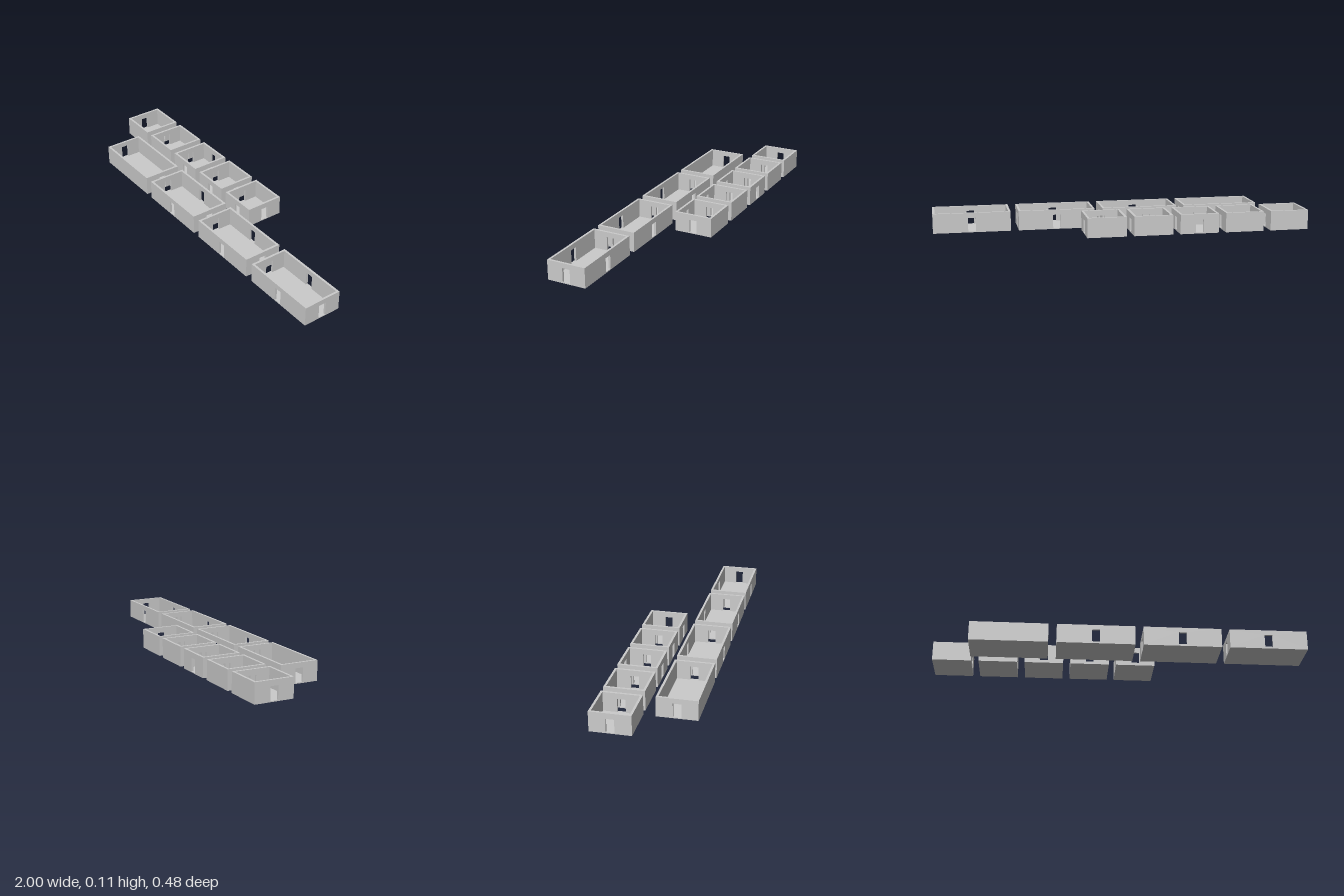
import * as THREE from 'three';

const WALL = 0.012, FLOOR = 0.005, HEIGHT = 0.106, DEPTH = 0.21;
const DOOR_WIDTH = 0.042, DOOR_TOP = 0.079;
const material = new THREE.MeshStandardMaterial({ color: 0xcccccc, flatShading: true });

// Upright wall panel centred on x = 0 and z = 0, with an optional central doorway
function wall(name, length, hasDoor, doorTop) {
  const h = length / 2, d = DOOR_WIDTH / 2;
  const shape = new THREE.Shape([
    new THREE.Vector2(-h, 0), new THREE.Vector2(h, 0),
    new THREE.Vector2(h, HEIGHT), new THREE.Vector2(-h, HEIGHT),
  ]);
  if (hasDoor) {
    shape.holes.push(new THREE.Path([
      new THREE.Vector2(-d, FLOOR), new THREE.Vector2(-d, doorTop),
      new THREE.Vector2(d, doorTop), new THREE.Vector2(d, FLOOR),
    ]));
  }
  const geometry = new THREE.ExtrudeGeometry(shape, { depth: WALL, bevelEnabled: false });
  geometry.translate(0, 0, -WALL / 2);
  const mesh = new THREE.Mesh(geometry, material);
  mesh.name = name;
  return mesh;
}

// Roofless room; doors lists the sides with a doorway: f(ront), b(ack), l(eft, +x), r(ight, -x)
function room(name, width, doors, doorTop) {
  const group = new THREE.Group();
  group.name = name;

  const floor = new THREE.Mesh(
    new THREE.BoxGeometry(width - 2 * WALL, FLOOR, DEPTH - 2 * WALL), material);
  floor.name = 'floor';
  floor.position.y = FLOOR / 2;
  group.add(floor);

  // Long walls run the full width, end walls fit between them
  for (const [side, label, sign] of [['f', 'frontWall', 1], ['b', 'backWall', -1]]) {
    const panel = wall(label, width, doors.includes(side), doorTop);
    panel.position.z = sign * (DEPTH - WALL) / 2;
    group.add(panel);
  }
  for (const [side, label, sign] of [['l', 'leftWall', 1], ['r', 'rightWall', -1]]) {
    const panel = wall(label, DEPTH - 2 * WALL, doors.includes(side), doorTop);
    panel.rotation.y = Math.PI / 2;
    panel.position.x = sign * (width - WALL) / 2;
    group.add(panel);
  }
  return group;
}

// Evenly spaced row of rooms running towards +x
function row(name, startX, pitch, width, y, z, doorSets) {
  const group = new THREE.Group();
  group.name = name;
  doorSets.forEach((doors, i) => {
    const r = room(`${name}Room${i + 1}`, width, doors, DOOR_TOP - y);
    r.position.set(startX + width / 2 + i * pitch, y, z);
    group.add(r);
  });
  return group;
}

export function createModel() {
  const model = new THREE.Group();
  model.name = 'roomRows';
  // Four long rooms in front, five square rooms behind
  model.add(row('front', -0.79, 0.4583, 0.415, 0, 0.136, ['lr', 'fblr', 'fblr', 'fblr']));
  model.add(row('back', -1, 0.25, 0.21, 0.003, -0.135, ['lr', 'lr', 'fblr', 'flr', 'flr']));
  return model;
}
